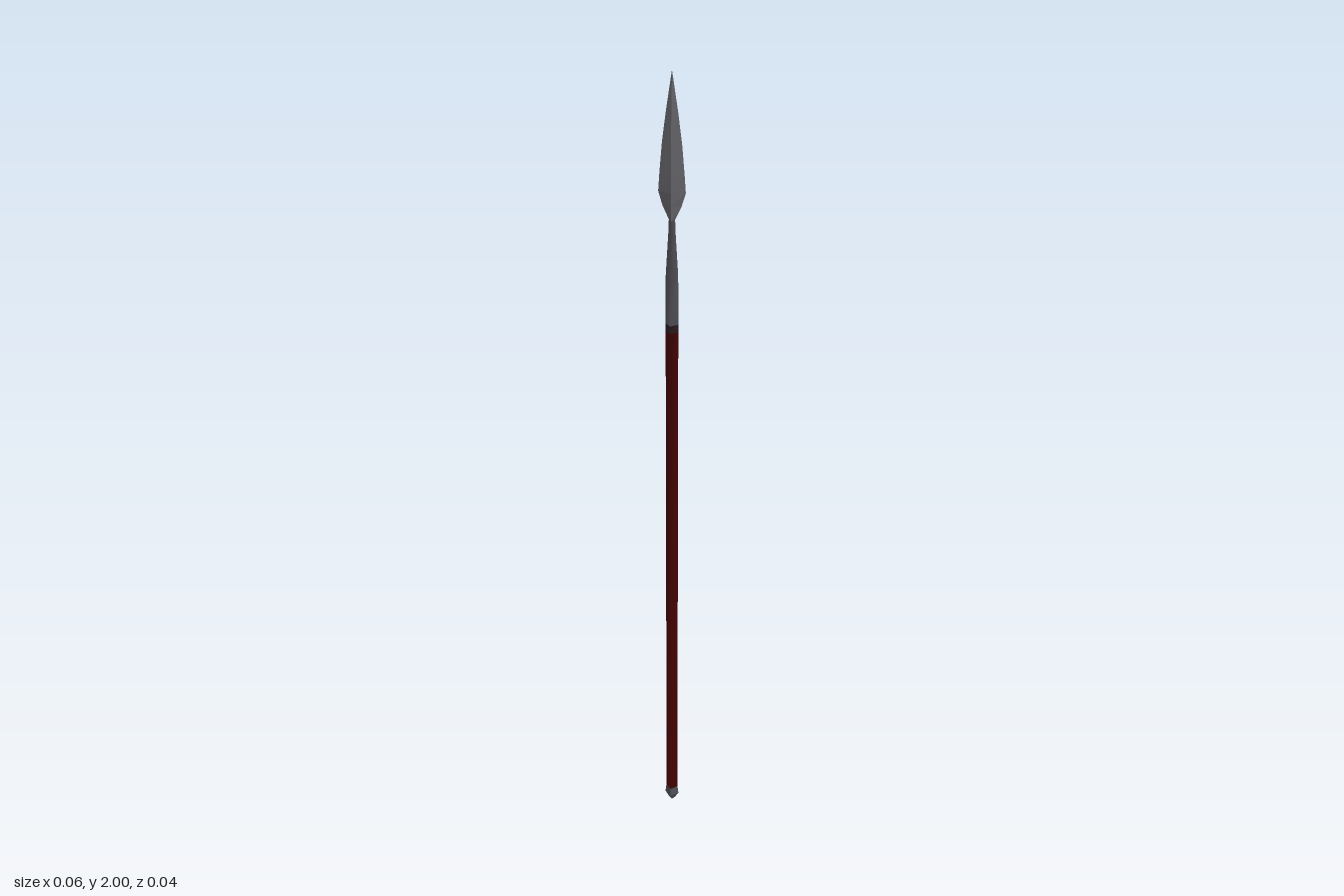
import * as THREE from 'three';
import { mergeVertices } from 'three/addons/utils/BufferGeometryUtils.js';

// Four-sided loft through rings of [y, half width x, half depth z], listed bottom to top.
function diamondLoft(rings, smooth) {
  const pos = [];
  const corner = ([y, rx, rz], i) => {
    const a = (i % 4) * Math.PI / 2;
    return new THREE.Vector3(Math.sin(a) * rx, y, Math.cos(a) * rz);
  };
  const tri = (a, b, c) => {
    const area = b.clone().sub(a).cross(c.clone().sub(a)).length();
    if (area > 1e-9) for (const p of [a, b, c]) pos.push(p.x, p.y, p.z);
  };
  for (let r = 0; r < rings.length - 1; r++) {
    for (let i = 0; i < 4; i++) {
      const a = corner(rings[r], i), b = corner(rings[r], i + 1);
      const c = corner(rings[r + 1], i + 1), d = corner(rings[r + 1], i);
      tri(a, b, c);
      tri(a, c, d);
    }
  }
  let g = new THREE.BufferGeometry();
  g.setAttribute('position', new THREE.Float32BufferAttribute(pos, 3));
  if (smooth) g = mergeVertices(g, 1e-5);
  g.computeVertexNormals();
  return g;
}

export function createModel() {
  const paint = (name, color) => new THREE.MeshStandardMaterial({ name, color });
  const bladeSteel = paint('blade steel', 0x67676c);
  const socketSteel = paint('dark socket steel', 0x504f56);
  const darkBinding = paint('dark binding', 0x2a1c1e);
  const wood = paint('red wood', 0x460303);
  const group = new THREE.Group();
  group.name = 'spear';
  const add = (name, rings, material, smooth = false) => {
    const mesh = new THREE.Mesh(diamondLoft(rings, smooth), material);
    mesh.name = name;
    group.add(mesh);
  };

  // Slim pole set corner-on, softly shaded
  add('shaft', [[0.04, 0.015, 0.015], [1.39, 0.015, 0.015]], wood, true);

  // Pointed cap at the foot
  add('buttCap', [
    [0, 0, 0], [0.008, 0.008, 0.008], [0.024, 0.018, 0.018],
    [0.046, 0.0155, 0.0155], [0.046, 0, 0],
  ], socketSteel);

  // Dark band where the pole enters the socket
  add('collar', [[1.39, 0.0155, 0.0155], [1.409, 0.0155, 0.0155]], darkBinding, true);

  // Sleeve gripping the pole, tapering into the neck
  add('socket', [
    [1.409, 0.0155, 0.0155], [1.53, 0.0145, 0.0145],
    [1.63, 0.0085, 0.0085], [1.67, 0.007, 0.007],
  ], socketSteel, true);

  // Leaf-shaped blade with a central ridge
  add('blade', [
    [1.66, 0.006, 0.008], [1.695, 0.022, 0.01], [1.727, 0.0315, 0.0105],
    [1.77, 0.0285, 0.01], [1.84, 0.0225, 0.008], [1.91, 0.0135, 0.0055], [2, 0, 0],
  ], bladeSteel);

  return group;
}
